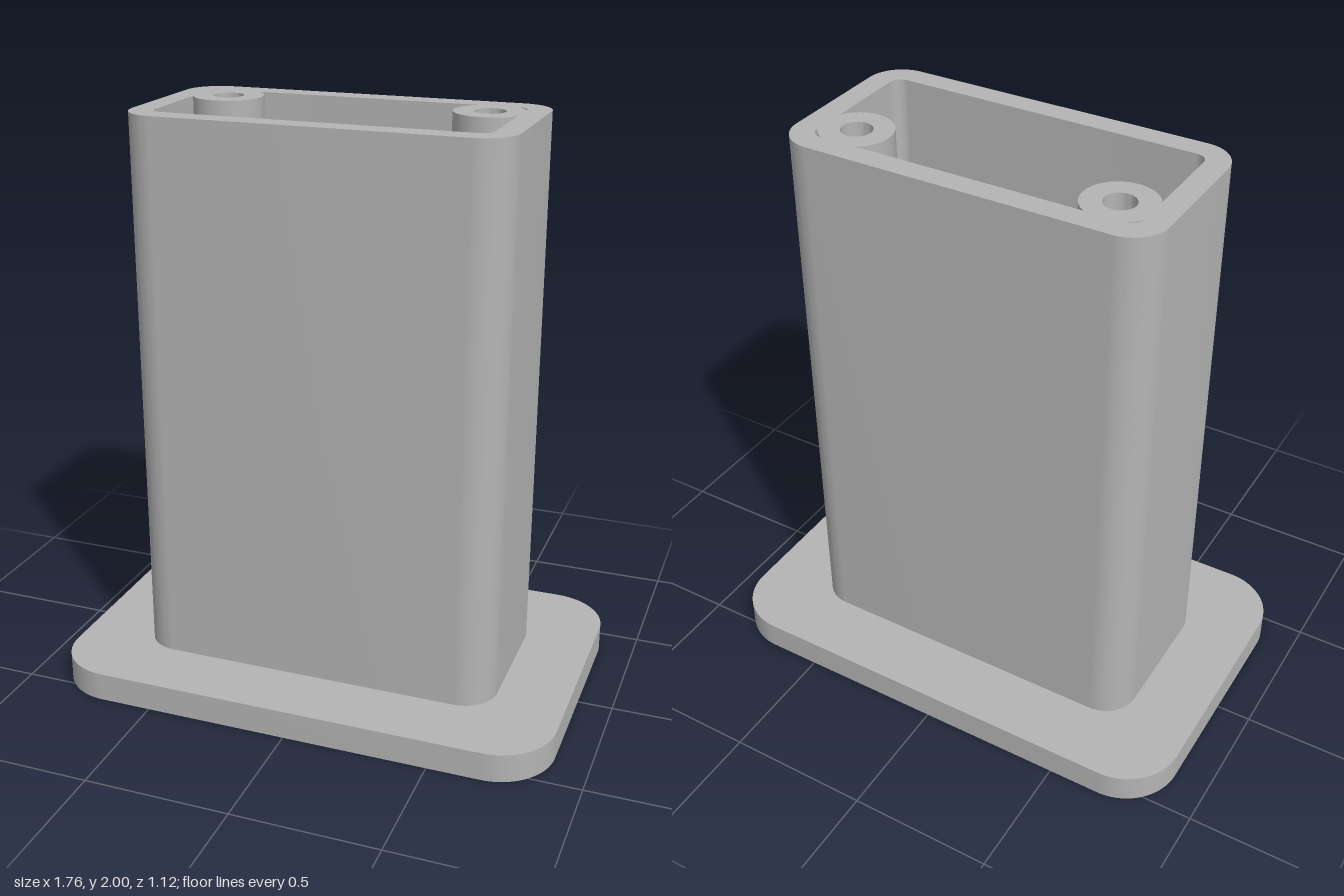
import * as THREE from 'three';
import { toCreasedNormals } from 'three/addons/utils/BufferGeometryUtils.js';

const BASE_TOP = 0.1, TOP = 2;

// Rounded rectangle in plan; shape y is -z in the model
function roundedRect(PathType, hx, hz, r) {
  const p = new PathType();
  p.absarc(hx - r, hz - r, r, 0, Math.PI / 2);
  p.absarc(-hx + r, hz - r, r, Math.PI / 2, Math.PI);
  p.absarc(-hx + r, -hz + r, r, Math.PI, Math.PI * 1.5);
  p.absarc(hx - r, -hz + r, r, Math.PI * 1.5, Math.PI * 2);
  p.closePath();
  return p;
}

// Polygon given as [x, z] corners
function polygon(PathType, corners) {
  return new PathType(corners.map(([x, z]) => new THREE.Vector2(x, -z)));
}

// Raise a plan shape from y0 to y1
function prism(shape, y0, y1) {
  const g = new THREE.ExtrudeGeometry(shape, { depth: y1 - y0, bevelEnabled: false, curveSegments: 14 });
  g.rotateX(-Math.PI / 2);
  g.translate(0, y0, 0);
  return toCreasedNormals(g, 0.6);
}

export function createModel() {
  const group = new THREE.Group();
  const grey = new THREE.MeshStandardMaterial({ color: 0xb4b4b4 });
  grey.name = 'grey';
  const add = (name, geometry) => {
    const mesh = new THREE.Mesh(geometry, grey);
    mesh.name = name;
    group.add(mesh);
    return mesh;
  };

  // Base plate with a slot through it
  const plate = roundedRect(THREE.Shape, 0.88, 0.56, 0.2);
  plate.holes.push(polygon(THREE.Path, [[-0.478, 0.04], [0.474, 0.04], [0.474, 0.115], [-0.478, 0.115]]));
  add('basePlate', prism(plate, 0, BASE_TOP));

  // Hollow column
  const wall = roundedRect(THREE.Shape, 0.64, 0.32, 0.12);
  wall.holes.push(roundedRect(THREE.Path, 0.56, 0.24, 0.04));
  add('column', prism(wall, BASE_TOP, TOP));

  // Screw posts with blind holes, and C-shaped guides at the slot ends
  const postProfile = [[0.12, BASE_TOP], [0.12, TOP], [0.052, TOP], [0.052, 1.5], [0, 1.5]]
    .map(([r, y]) => new THREE.Vector2(r, y));
  for (const [side, s] of [['left', 1], ['right', -1]]) {
    const post = add(side + 'ScrewPost', toCreasedNormals(new THREE.LatheGeometry(postProfile, 48), 0.6));
    post.position.set(s * 0.455, 0, -0.14);

    const notch = s > 0 ? 0.474 : 0.478;
    const guide = [[0.56, 0.02], [0.435, 0.02], [0.435, 0.04], [notch, 0.04],
      [notch, 0.115], [0.435, 0.115], [0.435, 0.135], [0.56, 0.135]];
    add(side + 'SlotGuide', prism(polygon(THREE.Shape, guide.map(([x, z]) => [s * x, z])), BASE_TOP, 0.7));
  }

  // Low ribs along the inner front and back walls
  for (const [name, s] of [['frontRib', 1], ['backRib', -1]]) {
    const rib = add(name, new THREE.BoxGeometry(0.6, 0.4, 0.048));
    rib.position.set(0, BASE_TOP + 0.2, s * 0.216);
  }

  return group;
}
